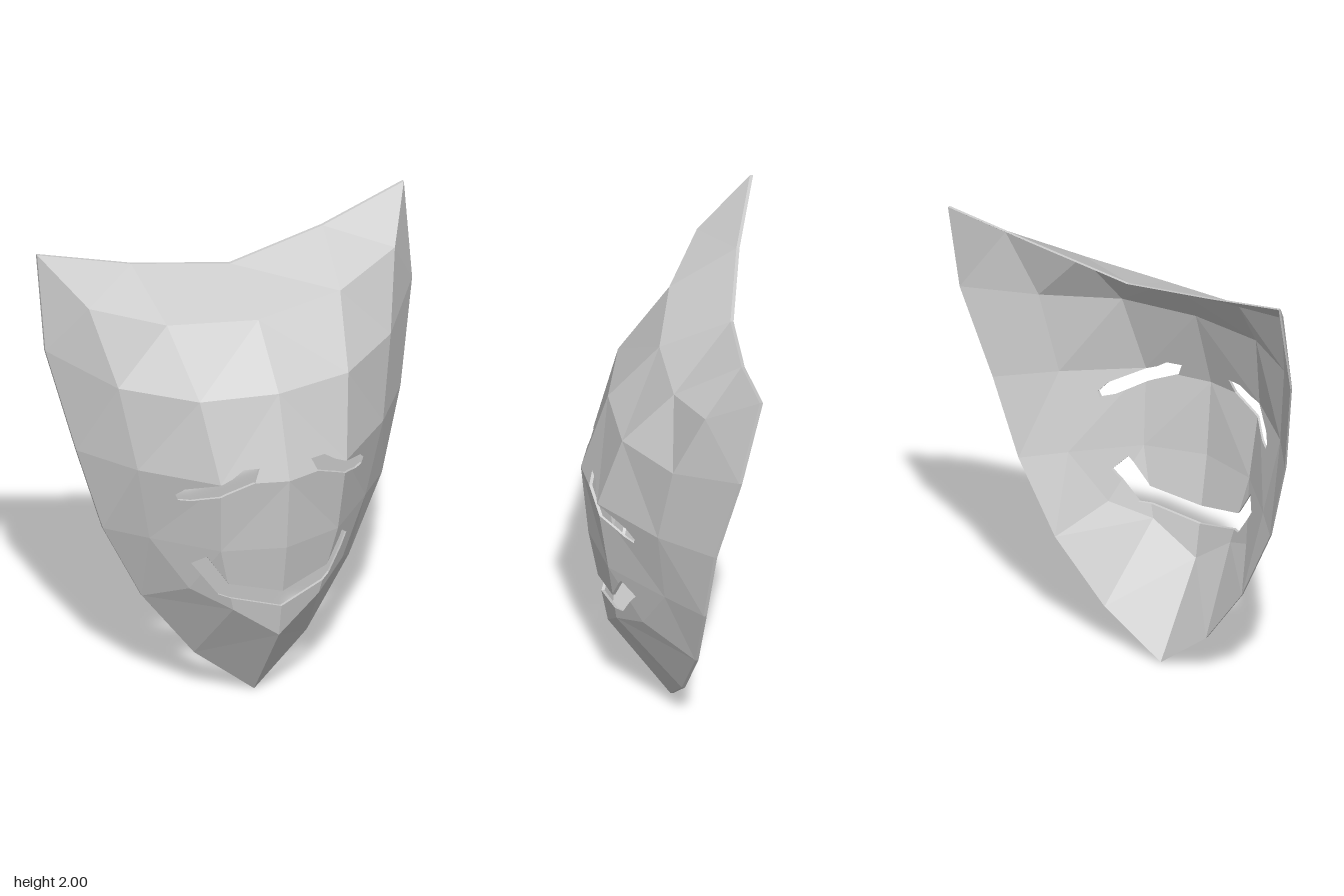
import * as THREE from 'three';

const THICKNESS = 0.013;

// One half (x >= 0) of the faceted face: rows from the top edge to the chin,
// columns from the centre line to the outer edge. Repeated points close a cell.
const corner = [0.815, 2, -0.35], jaw = [0.46, 0.48, -0.095];
const rows = [
  [[0, 1.84, -0.25], [0.425, 1.91, -0.285], corner, corner],
  [[0, 1.72, 0.04], [0.385, 1.75, -0.01], [0.68, 1.83, -0.13], corner],
  [[0, 1.48, 0.25], [0.33, 1.485, 0.2], [0.605, 1.51, 0], [0.815, 1.6, -0.265]],
  [[0, 1.13, 0.36], [0.28, 1.14, 0.3], [0.545, 1.15, 0.06], [0.72, 1.17, -0.165]],
  [[0, 0.81, 0.33], [0.26, 0.81, 0.255], [0.48, 0.81, 0.03], [0.62, 0.81, -0.125]],
  [[0, 0.37, 0.25], [0.19, 0.51, 0.22], [0.34, 0.59, 0.115], jaw],
  [[0, 0, -0.005], [0.25, 0.2, -0.045], jaw, jaw],
];

// Openings as convex clockwise pieces; the last-to-first edge is a seam between pieces.
const openings = [
  // eye
  [[0.25, 1.09], [0.14, 1.135], [0.115, 1.192], [0.18, 1.192], [0.228, 1.16]],
  [[0.228, 1.16], [0.39, 1.09], [0.418, 1.055], [0.407, 1.03], [0.365, 1.035], [0.25, 1.09]],
  // mouth
  [[0.217, 0.643], [0.3, 0.77], [0.345, 0.722], [0.245, 0.58]],
  [[0.245, 0.58], [0, 0.515], [0, 0.592], [0.217, 0.643]],
];

// Signed distance of p from line a-b in the front plane, positive on the left
function side(a, b, p) {
  const dx = b[0] - a[0], dy = b[1] - a[1];
  return (dx * (p[1] - a[1]) - dy * (p[0] - a[0])) / Math.hypot(dx, dy);
}

// Part of a convex polygon on one side (sign +1 left, -1 right) of line a-b
function clip(poly, a, b, sign) {
  const out = [];
  poly.forEach((p, i) => {
    const q = poly[(i + 1) % poly.length];
    const dp = sign * side(a, b, p), dq = sign * side(a, b, q);
    if (dp >= 0) out.push(p);
    if ((dp > 0 && dq < 0) || (dp < 0 && dq > 0)) {
      const t = dp / (dp - dq);
      out.push(p.map((v, k) => v + (q[k] - v) * t));
    }
  });
  return out;
}

function area(poly) {
  let s = 0;
  poly.forEach((p, i) => {
    const q = poly[(i + 1) % poly.length];
    s += p[0] * q[1] - q[0] * p[1];
  });
  return Math.abs(s) / 2;
}

const back = (p) => [p[0], p[1], p[2] - THICKNESS];

// Adds a convex polygon as a fan, together with its mirror image
function addPoly(target, poly) {
  for (let i = 1; i < poly.length - 1; i++) {
    const tri = [poly[0], poly[i], poly[i + 1]];
    tri.forEach((p) => target.push(...p));
    tri.reverse().forEach((p) => target.push(-p[0], p[1], p[2]));
  }
}

// Strip joining the front and back surfaces along an edge
const addWall = (target, p, q) => addPoly(target, [p, back(p), back(q), q]);

// Cuts the openings out of one facet, lining each cut with a wall
function cutFacet(facet, walls) {
  let solid = [facet];
  for (const piece of openings) {
    const next = [];
    for (const poly of solid) {
      let rest = poly;
      const outside = [];
      piece.forEach((a, i) => {
        const b = piece[(i + 1) % piece.length];
        const off = clip(rest, a, b, 1);
        if (off.length > 2 && area(off) > 1e-9) outside.push(off);
        rest = clip(rest, a, b, -1);
      });
      if (rest.length < 3 || area(rest) < 1e-9) {
        next.push(poly);
        continue;
      }
      next.push(...outside);
      rest.forEach((p, i) => {
        const q = rest[(i + 1) % rest.length];
        if (p[0] < 1e-6 && q[0] < 1e-6) return;
        for (let k = 0; k < piece.length - 1; k++) {
          const on = (v) => Math.abs(side(piece[k], piece[k + 1], v)) < 1e-6;
          if (on(p) && on(q)) { addWall(walls, q, p); break; }
        }
      });
    }
    solid = next;
  }
  return solid;
}

export function createModel() {
  const front = [], inner = [], rim = [], walls = [];

  // Face facets, front and back
  for (let r = 0; r < rows.length - 1; r++) {
    for (let c = 0; c < 3; c++) {
      const a = rows[r][c], b = rows[r + 1][c], d = rows[r + 1][c + 1], e = rows[r][c + 1];
      for (const tri of [[a, b, d], [a, d, e]]) {
        if (area(tri) < 1e-6) continue;
        for (const poly of cutFacet(tri, walls)) {
          addPoly(front, poly);
          addPoly(inner, poly.map(back).reverse());
        }
      }
    }
  }

  // Outer rim, from the chin tip up the side and along the top edge
  const outline = [rows[6][0], rows[6][1], jaw, rows[4][3], rows[3][3], rows[2][3],
    corner, rows[0][1], rows[0][0]];
  for (let i = 0; i < outline.length - 1; i++) addWall(rim, outline[i], outline[i + 1]);

  const group = new THREE.Group();
  group.name = 'mask';
  const material = new THREE.MeshStandardMaterial({ color: 0xcccccc, flatShading: true });
  const parts = { frontFace: front, backFace: inner, outerRim: rim, eyeAndMouthEdges: walls };
  for (const [name, positions] of Object.entries(parts)) {
    const geometry = new THREE.BufferGeometry();
    geometry.setAttribute('position', new THREE.Float32BufferAttribute(positions, 3));
    geometry.computeVertexNormals();
    const mesh = new THREE.Mesh(geometry, material);
    mesh.name = name;
    group.add(mesh);
  }
  return group;
}
